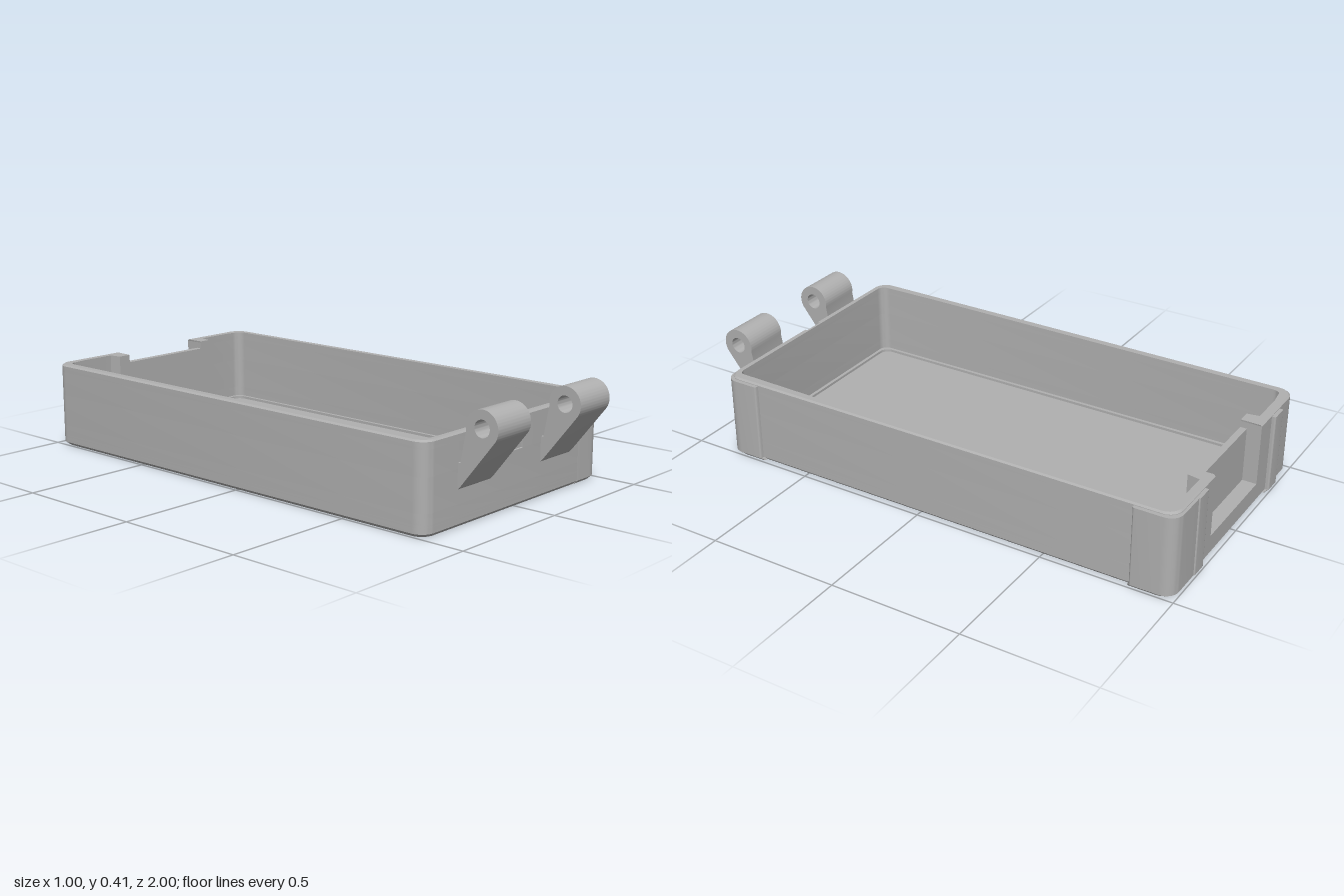
import * as THREE from 'three';
import { toCreasedNormals } from 'three/addons/utils/BufferGeometryUtils.js';

const grey = new THREE.MeshStandardMaterial({ color: 0xb0b0b0 });
grey.name = 'grey plastic';

// Closed plan outline from [x, z, cornerRadius] points, drawn with y = -z
function trace(path, pts) {
  const k = 0.5523;
  pts.forEach(([x, z, r = 0], i) => {
    const p = new THREE.Vector2(x, -z);
    const toward = (q) => new THREE.Vector2(q[0], -q[1]).sub(p).normalize();
    const a = toward(pts[(i + pts.length - 1) % pts.length]);
    const b = toward(pts[(i + 1) % pts.length]);
    const at = (d, s) => p.clone().addScaledVector(d, s);
    const start = at(a, r);
    if (i === 0) path.moveTo(start.x, start.y);
    else path.lineTo(start.x, start.y);
    if (r) {
      const c1 = at(a, r * (1 - k)), c2 = at(b, r * (1 - k)), end = at(b, r);
      path.bezierCurveTo(c1.x, c1.y, c2.x, c2.y, end.x, end.y);
    }
  });
  path.closePath();
  return path;
}

// Horizontal slice from y0 to y1; chamferY pulls in the outer edge at that height
function slice(name, pts, y0, y1, { holes = [], chamferY = null, inset = 0.012 } = {}) {
  const shape = trace(new THREE.Shape(), pts);
  shape.holes = holes.map((h) => trace(new THREE.Path(), h));
  const geo = new THREE.ExtrudeGeometry(shape, { depth: y1 - y0, bevelEnabled: false, curveSegments: 8 });
  geo.rotateX(-Math.PI / 2).translate(0, y0, 0);
  if (chamferY !== null) {
    const p = geo.attributes.position;
    for (let i = 0; i < p.count; i++) {
      const x = p.getX(i), z = p.getZ(i);
      const outside = x < -0.48 || x > 0.463 || z > 0.826 || z < -0.962;
      if (outside && Math.abs(p.getY(i) - chamferY) < 1e-4) {
        p.setX(i, x * (1 - inset / 0.5));
        p.setZ(i, z * (1 - inset / 0.9));
      }
    }
    geo.computeVertexNormals();
  }
  const mesh = new THREE.Mesh(toCreasedNormals(geo, 0.5), grey);
  mesh.name = name;
  return mesh;
}

// Outer outline, open at the latch pocket in the back
const outer = (thumb) => [
  [0.19, -0.985], [0.485, -0.985, 0.05], [0.485, 0.845, 0.05],
  ...(thumb ? [[0.03, 0.845], [0.03, 0.836], [-0.05, 0.836], [-0.05, 0.845]] : []),
  [-0.5, 0.845, 0.05], [-0.5, -0.985, 0.05], [-0.2, -0.985],
];
const pocket = [[-0.2, -0.93], [0.19, -0.93]];

// Inner outline with the latch bulge; d narrows it for the floor ledge
const inner = (d = 0) => [
  [-0.2, -0.905 + d], [-0.25 - d, -0.905 + d], [-0.258 - d, -0.952 + d],
  [-0.468 + d, -0.952 + d, 0.035], [-0.468 + d, 0.822 - d, 0.035],
  [0.455 - d, 0.822 - d, 0.035], [0.455 - d, -0.952 + d, 0.035],
  [0.243 + d, -0.952 + d], [0.235 + d, -0.905 + d], [0.19, -0.905 + d],
];

function hingeLug(x0, x1) {
  const cz = 0.937, cy = 0.346, r = 0.063;
  const shape = new THREE.Shape();
  shape.moveTo(0.84, 0.125);
  shape.lineTo(0.855, 0.14);
  shape.absarc(cz, cy, r, -0.62, Math.PI + 0.2, false);
  shape.lineTo(0.855, 0.22);
  shape.lineTo(0.84, 0.22);
  shape.closePath();
  shape.holes.push(new THREE.Path().absarc(cz, cy, 0.03, 0, Math.PI * 2, true));
  const geo = new THREE.ExtrudeGeometry(shape, { depth: x1 - x0, bevelEnabled: false, curveSegments: 24 });
  geo.rotateY(-Math.PI / 2).translate(x1, 0, 0);
  const mesh = new THREE.Mesh(toCreasedNormals(geo, 0.5), grey);
  mesh.name = 'hingeLug';
  return mesh;
}

export function createModel() {
  const model = new THREE.Group();
  model.name = 'openTray';

  // Base with three shallow grooves underneath
  const grooves = [-0.5, -0.07, 0.34].map((z) => [
    [-0.4, z - 0.008], [0.37, z - 0.008], [0.37, z + 0.008], [-0.4, z + 0.008],
  ]);
  model.add(
    slice('groovedBase', outer(), 0, 0.012, { holes: grooves, chamferY: 0 }),
    slice('floor', outer(), 0.012, 0.032, {}),
    slice('floorLedge', outer(), 0.032, 0.042, { holes: [inner(0.013)] }),
  );

  // Walls, rising through the pocket, thumb notch and latch opening
  model.add(
    slice('lowerWall', outer(), 0.042, 0.08, { holes: [inner()] }),
    slice('pocketWall', [...outer(), ...pocket], 0.08, 0.2, { holes: [inner()] }),
    slice('upperWall', [...outer(true), ...pocket], 0.2, 0.29, { holes: [inner()] }),
    slice('openWall', [...outer(true), ...inner()], 0.29, 0.314),
    slice('rim', [...outer(true), ...inner()], 0.314, 0.32, { chamferY: 0.32, inset: 0.006 }),
  );

  // Raised corner plates on the left side and ribs on the back
  const raised = {
    frontCornerPlate: [[0.37, 0.847], [0.5, 0.847, 0.05], [0.5, 0.705, 0.008],
      [0.47, 0.705], [0.47, 0.835], [0.37, 0.835]],
    backCornerPlate: [[0.34, -0.996], [0.5, -0.996, 0.05], [0.5, -0.835, 0.008],
      [0.47, -0.835], [0.47, -0.965], [0.34, -0.965]],
    leftBackRib: [[0.27, -1, 0.006], [0.34, -1, 0.006], [0.34, -0.97], [0.27, -0.97]],
    rightBackRib: [[-0.36, -1, 0.006], [-0.29, -1, 0.006], [-0.29, -0.97], [-0.36, -0.97]],
  };
  for (const [name, pts] of Object.entries(raised)) {
    model.add(
      slice(name + 'Foot', pts, 0, 0.012, { chamferY: 0 }),
      slice(name, pts, 0.012, 0.312),
    );
  }

  // Hinge lugs on the front
  model.add(hingeLug(-0.33, -0.153), hingeLug(0.135, 0.313));
  return model;
}
